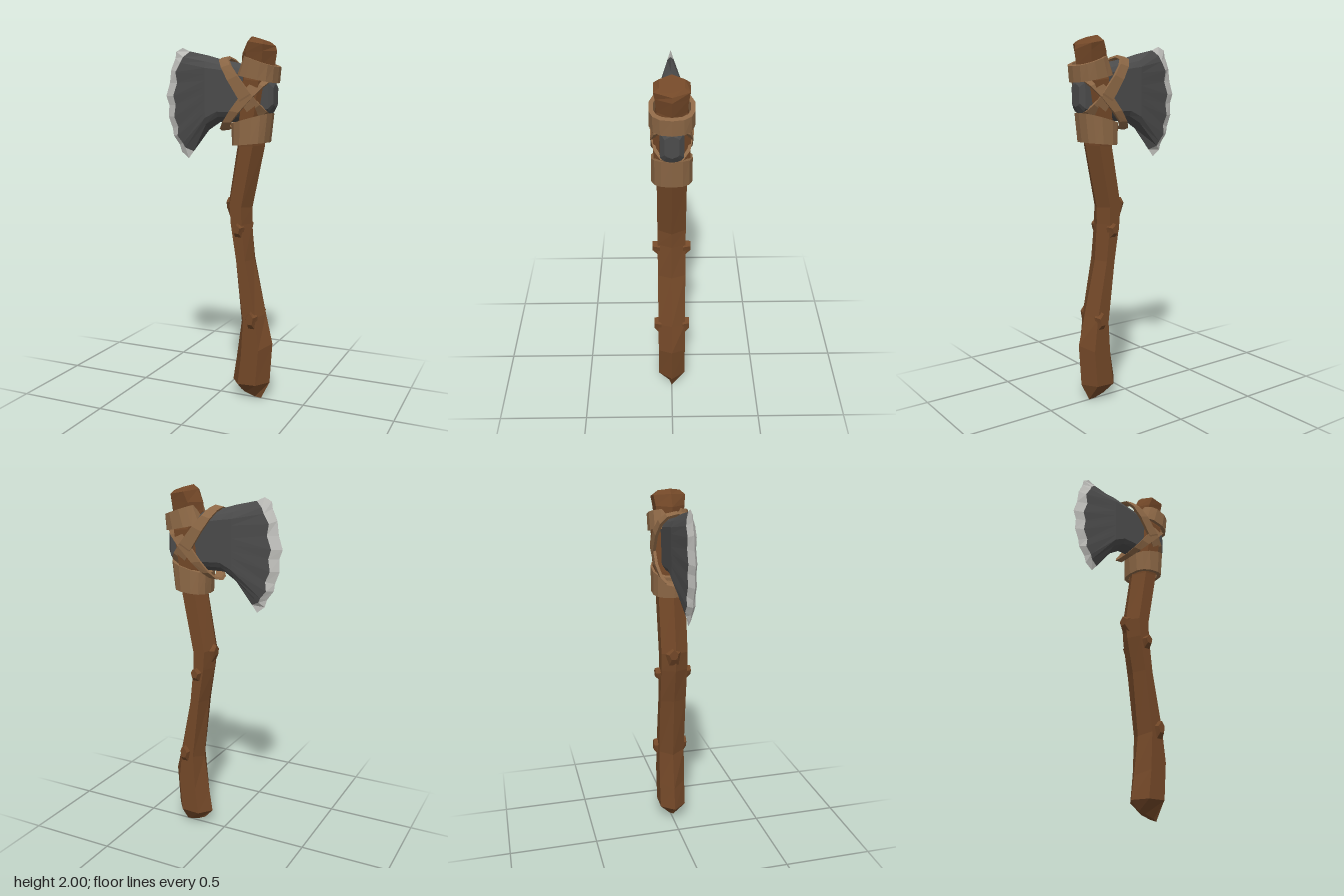
import * as THREE from 'three';

const mat = (name, color) => {
  const m = new THREE.MeshStandardMaterial({ color });
  m.name = name;
  m.flatShading = true;
  return m;
};

// Skin a list of cyclic cross-sections; open lists get fan caps, closed ones join up.
function skin(rings, closed = false) {
  const tris = [];
  const n = rings[0].length;
  const last = closed ? rings.length : rings.length - 1;
  for (let i = 0; i < last; i++) {
    const a = rings[i], b = rings[(i + 1) % rings.length];
    for (let j = 0; j < n; j++) {
      const k = (j + 1) % n;
      tris.push([a[j], b[j], b[k]], [a[j], b[k], a[k]]);
    }
  }
  const centre = (r) => [0, 1, 2].map((c) => r.reduce((s, p) => s + p[c], 0) / r.length);
  if (!closed) {
    const a = rings[0], b = rings[rings.length - 1], ca = centre(a), cb = centre(b);
    for (let j = 0; j < n; j++) {
      const k = (j + 1) % n;
      tris.push([ca, a[j], a[k]], [cb, b[k], b[j]]);
    }
  }
  // Turn the faces outward, judged by signed volume
  const v = (p) => new THREE.Vector3(...p);
  let volume = 0;
  for (const [p, q, r] of tris) volume += v(p).dot(v(q).cross(v(r)));
  if (volume < 0) tris.forEach((t) => t.reverse());
  const geo = new THREE.BufferGeometry();
  geo.setAttribute('position', new THREE.Float32BufferAttribute(tris.flat(2), 3));
  geo.computeVertexNormals();
  return geo;
}

const mix = THREE.MathUtils.lerp;

export function createModel() {
  const wood = mat('wood', 0x734828);
  const leather = mat('leather', 0x8d6846);
  const stone = mat('darkMetal', 0x4b4b4b);
  const steel = mat('sharpEdge', 0xc2c2be);
  const model = new THREE.Group();
  model.name = 'axe';
  const add = (name, geo, material) => {
    const m = new THREE.Mesh(geo, material);
    m.name = name;
    model.add(m);
    return m;
  };

  // Handle: six-sided sections [left x, y, right x, y, half depth]
  const stations = [
    [0.13, 0.035, 0.25, 0.0, 0.015],
    [0.08, 0.09, 0.30, 0.1, 0.076],
    [0.10, 0.22, 0.315, 0.33, 0.076],
    [0.13, 0.44, 0.275, 0.5, 0.076],
    [0.098, 0.8, 0.205, 0.8, 0.076],
    [0.06, 1.0, 0.19, 1.0, 0.076],
    [0.05, 1.11, 0.19, 1.09, 0.076],
    [0.10, 1.42, 0.26, 1.43, 0.076],
    [0.105, 1.56, 0.27, 1.58, 0.09],
    [0.125, 1.78, 0.30, 1.76, 0.092],
    [0.125, 1.87, 0.31, 1.84, 0.072],
    [0.125, 1.91, 0.322, 1.92, 0.08],
    [0.155, 1.975, 0.315, 1.945, 0.087],
    [0.18, 2.0, 0.295, 1.96, 0.06],
  ];
  const hex = [[0, 0], [0.26, 1], [0.74, 1], [1, 0], [0.74, -1], [0.26, -1]];
  add('handle', skin(stations.map(([xl, yl, xr, yr, h]) =>
    hex.map(([u, s]) => [mix(xl, xr, u), mix(yl, yr, u), s * h]))), wood);

  // Knots: blunt stubs with a sloping underside, on both faces and on the blade side
  const knot = (name, x, y, w, h, z) => {
    const base = [[-w, 0.4 * h], [0, h], [w, 0.5 * h], [0.7 * w, -h], [-0.5 * w, -h]];
    return add(name, skin([
      base.map(([a, b]) => [x + a, y + b, z * 0.6]),
      base.map(([a, b]) => [x + a * 0.6, y + (b > 0 ? b * 0.9 : b * 0.2), z]),
    ]), wood);
  };
  for (const s of [1, -1]) {
    knot('upperKnot', 0.135, 0.965, 0.035, 0.045, s * 0.104);
    knot('lowerKnot', 0.215, 0.465, 0.035, 0.06, s * 0.1);
  }
  const side = knot('sideKnot', 0, 0, 0.045, 0.05, 0.055);
  side.rotation.y = -Math.PI / 2;
  side.position.set(0.095, 1.09, -0.015);

  // Blade: rows run from the top to the bottom of the head
  const inner = [
    [-0.185, 1.93], [-0.22, 1.9], [-0.235, 1.87], [-0.265, 1.82], [-0.255, 1.76],
    [-0.28, 1.69], [-0.265, 1.64], [-0.275, 1.575], [-0.25, 1.52], [-0.255, 1.47],
    [-0.222, 1.43], [-0.21, 1.405], [-0.165, 1.385],
  ];
  const outer = [
    [-0.23, 1.95], [-0.27, 1.93], [-0.275, 1.895], [-0.302, 1.835], [-0.312, 1.76],
    [-0.335, 1.69], [-0.317, 1.64], [-0.321, 1.575], [-0.296, 1.51], [-0.29, 1.47],
    [-0.252, 1.42], [-0.24, 1.38], [-0.196, 1.345],
  ];
  const n = inner.length;
  const bevel = (j) => [0, 0.72][Math.min(j, n - 1 - j)] ?? 1;
  const section = (points, t) => {
    const front = points.map(([x, y], j) => [x, y, t * bevel(j)]);
    const back = front.slice(1, -1).reverse().map(([x, y, z]) => [x, y, -z]);
    return [...front, ...back];
  };
  // Head columns: [x, top y, bottom y, half thickness], from poll to cheek
  const columns = [
    [0.318, 1.75, 1.63, 0.035],
    [0.295, 1.79, 1.59, 0.058],
    [0.24, 1.83, 1.56, 0.06],
    [0.1, 1.865, 1.55, 0.058],
    [0.0, 1.885, 1.55, 0.057],
    [-0.07, 1.905, 1.505, 0.057],
  ].map(([x, top, bottom, t]) =>
    section(inner.map((_, j) => [x, mix(top, bottom, j / (n - 1))]), t));
  const rim = section(inner, 0.023);
  add('axeHead', skin([...columns, rim]), stone);
  add('cuttingEdge', skin([rim, section(outer, 0.0005)]), steel);

  // Leather loops: a flat strip round the handle, set by its two edges at the left and right ends
  const loop = (name, [lowL, highL], [lowR, highR], depth, thick) => {
    const rings = [];
    const sides = 14;
    for (let i = 0; i < sides; i++) {
      const a = (i / sides) * Math.PI * 2;
      const round = (v) => Math.sign(v) * Math.abs(v) ** 0.8;
      const point = (l, r, inset) => {
        const k = inset / Math.hypot(r[0] - l[0], r[1] - l[1]);
        const u = 0.5 - round(Math.cos(a)) * (0.5 - k);
        return [mix(l[0], r[0], u), mix(l[1], r[1], u), round(Math.sin(a)) * (depth - inset)];
      };
      rings.push([point(lowL, lowR, 0), point(highL, highR, 0),
        point(highL, highR, thick), point(lowL, lowR, thick)]);
    }
    add(name, skin(rings, true), leather);
  };
  loop('upperBand', [[0.112, 1.8], [0.152, 1.9]], [[0.328, 1.755], [0.334, 1.838]], 0.112, 0.022);
  loop('lowerBand', [[0.083, 1.425], [0.076, 1.54]], [[0.282, 1.445], [0.3, 1.6]], 0.105, 0.022);
  loop('fallingStrap', [[0.004, 1.892], [0.052, 1.9]], [[0.23, 1.545], [0.3, 1.595]], 0.108, 0.016);
  loop('risingStrap', [[0.052, 1.508], [0.008, 1.502]], [[0.322, 1.78], [0.255, 1.815]], 0.106, 0.016);

  return model;
}
